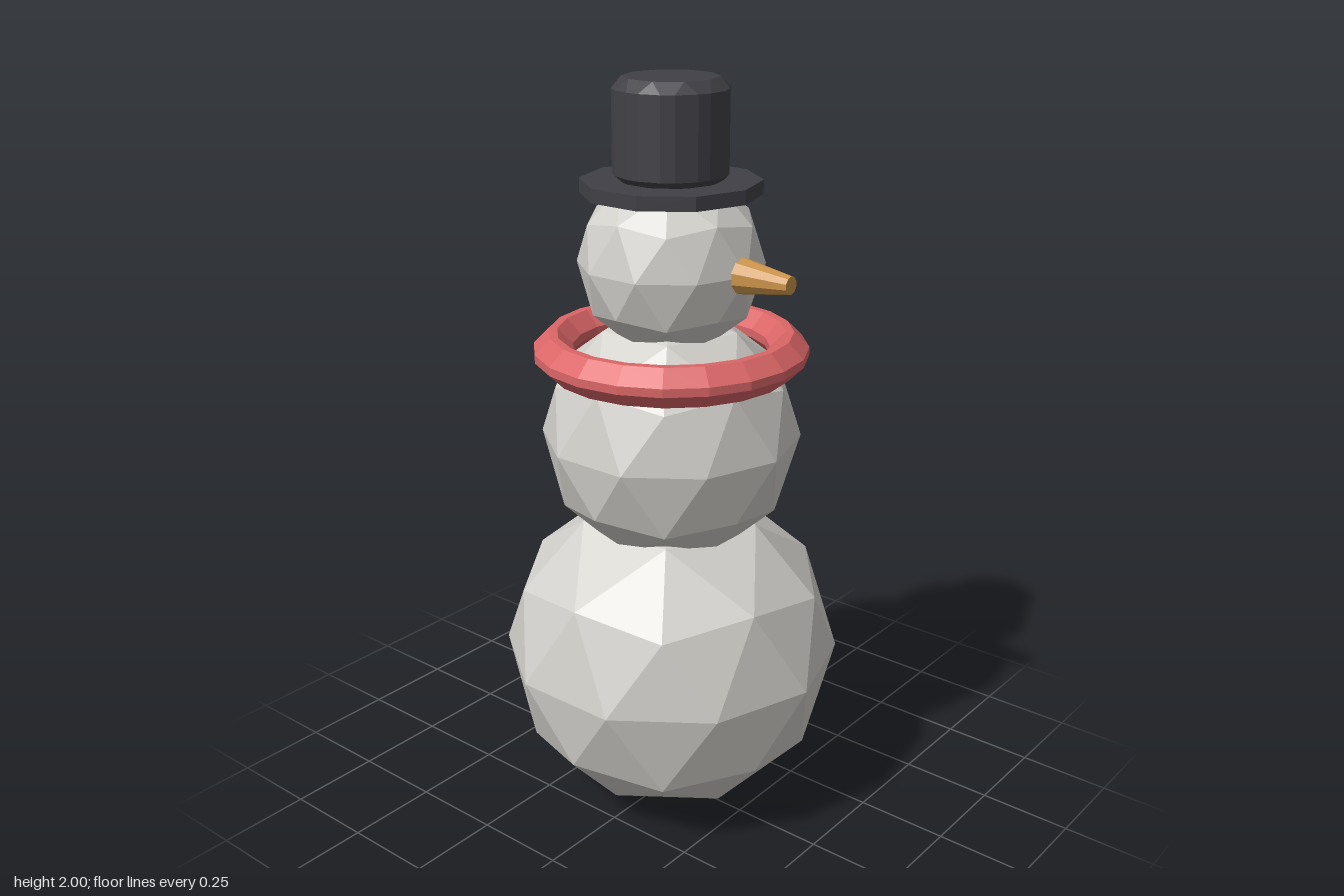
import * as THREE from 'three';
import { ConvexGeometry } from 'three/addons/geometries/ConvexGeometry.js';

const flat = (name, color) => {
  const m = new THREE.MeshStandardMaterial({ color, flatShading: true });
  m.name = name;
  return m;
};

export function createModel() {
  const snow = flat('snow', 0xd2d0cb);
  const felt = flat('hat felt', 0x414046);
  const wool = flat('scarf wool', 0xdb6667);
  const carrot = flat('carrot', 0xc9924a);

  const model = new THREE.Group();
  model.name = 'snowman';
  const add = (name, geometry, material, y = 0, z = 0) => {
    const mesh = new THREE.Mesh(geometry, material);
    mesh.name = name;
    mesh.position.set(0, y, z);
    model.add(mesh);
    return mesh;
  };

  // Snowballs: faceted icospheres turned so that a corner points straight up
  const tilt = -Math.atan(2 / (1 + Math.sqrt(5)));
  for (const [name, radius, y] of [
    ['lowerBody', 0.458, 0.459],
    ['upperBody', 0.342, 1.08],
    ['head', 0.24, 1.54],
  ]) {
    add(name, new THREE.IcosahedronGeometry(radius, 1).rotateZ(tilt), snow, y);
  }

  // Scarf: ring with a bevelled diamond cross-section
  const half = 0.051, bevel = 0.011;
  const section = [
    [half, -bevel], [half, bevel], [bevel, half], [-bevel, half],
    [-half, bevel], [-half, -bevel], [-bevel, -half], [bevel, -half], [half, -bevel],
  ].map(([r, y]) => new THREE.Vector2(0.306 + r, y));
  add('scarf', new THREE.LatheGeometry(section, 20), wool, 1.31);

  // Hat brim: ten-sided disc
  add('hatBrim', new THREE.CylinderGeometry(0.23, 0.23, 0.036, 10), felt, 1.733);

  // Hat crown: ten-sided drum with every edge bevelled
  const points = [];
  const put = (r, angle, y) =>
    points.push(new THREE.Vector3(r * Math.sin(angle), y, r * Math.cos(angle)));
  for (let i = 0; i < 10; i++) {
    const corner = (i * Math.PI) / 5;
    for (const y of [1.74, 2]) put(0.121, corner, y);
    for (const y of [1.767, 1.973]) {
      for (const side of [-1, 1]) put(0.147, corner + side * 0.195, y);
    }
  }
  add('hatCrown', new ConvexGeometry(points), felt);

  // Nose: blunt carrot pointing forward
  add('nose', new THREE.CylinderGeometry(0.023, 0.05, 0.17, 10).rotateX(Math.PI / 2),
    carrot, 1.54, 0.285);

  return model;
}
